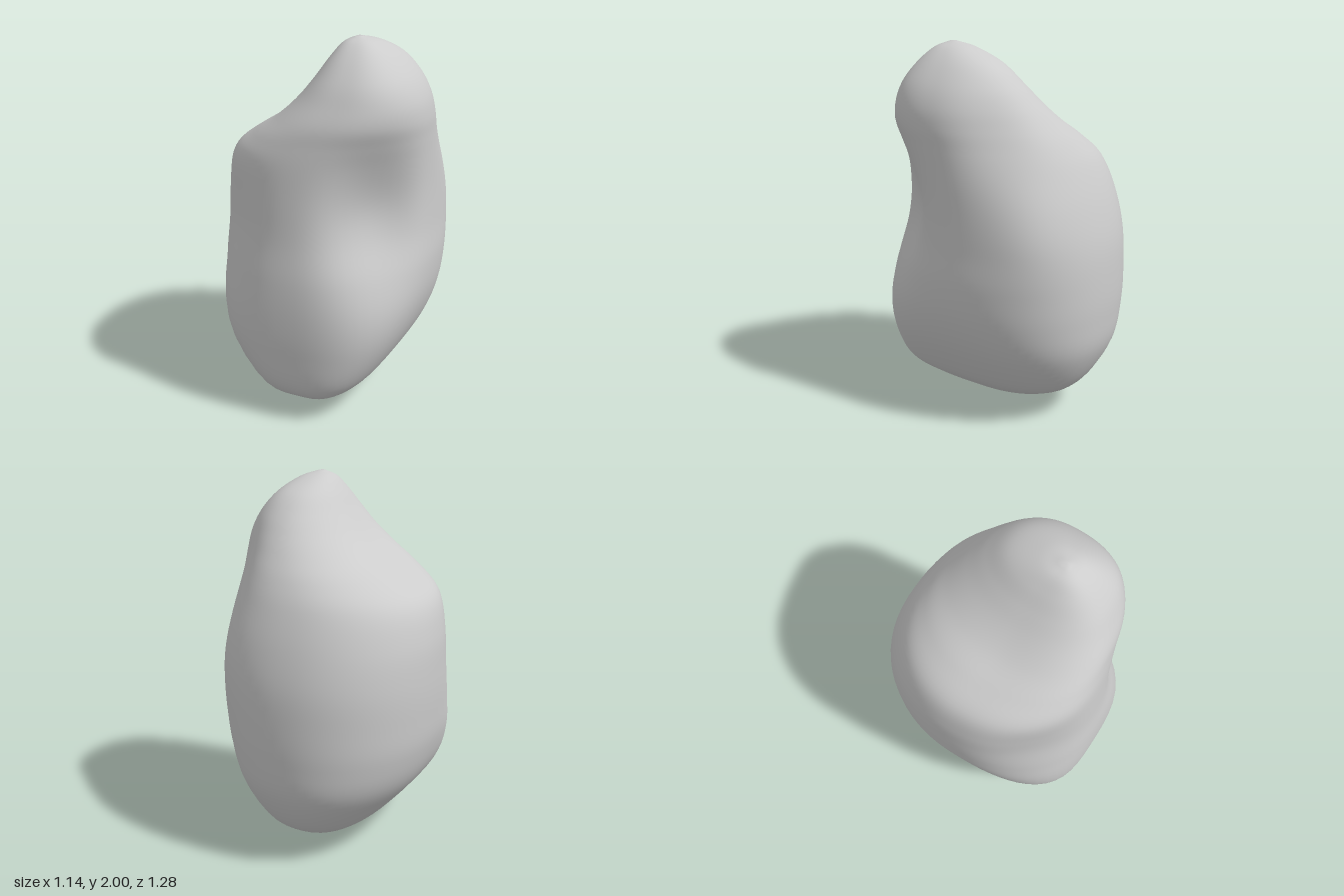
import * as THREE from 'three';

// Rock outline by height: [y, xMin, xMax, zMin, zMax]
const LEVELS = [
  [0, -0.02, 0.04, 0.08, 0.18],
  [0.04, -0.1, 0.13, -0.15, 0.36],
  [0.1, -0.2, 0.22, -0.34, 0.52],
  [0.2, -0.31, 0.34, -0.49, 0.605],
  [0.4, -0.475, 0.47, -0.605, 0.635],
  [0.6, -0.55, 0.545, -0.635, 0.645],
  [0.8, -0.572, 0.57, -0.637, 0.64],
  [1.0, -0.577, 0.56, -0.62, 0.62],
  [1.2, -0.565, 0.555, -0.57, 0.605],
  [1.38, -0.51, 0.555, -0.5, 0.588],
  [1.5, -0.37, 0.556, -0.435, 0.57],
  [1.6, -0.22, 0.555, -0.37, 0.55],
  [1.7, -0.1, 0.535, -0.3, 0.505],
  [1.8, -0.01, 0.485, -0.215, 0.45],
  [1.9, 0.065, 0.4, -0.1, 0.37],
  [1.97, 0.13, 0.31, 0.06, 0.29],
  [2.0, 0.195, 0.225, 0.18, 0.22],
];

// Soft hollows and swellings: centre, spread, and push along x, y, z
const DENTS = [
  { at: [0.45, 1.14, 0.46], spread: [0.27, 0.38, 0.27], push: [-0.11, 0, -0.12] },    // large front hollow
  { at: [-0.42, 1.1, 0.46], spread: [0.28, 0.34, 0.28], push: [0.045, 0, -0.045] },   // front side waist
  { at: [-0.2, 1.58, 0.12], spread: [0.22, 0.2, 0.24], push: [0.01, -0.015, 0] },     // scooped shoulder
  { at: [0.45, 1.1, -0.43], spread: [0.25, 0.28, 0.25], push: [0.025, 0, -0.025] },   // rear swelling
  { at: [0.42, 1.62, -0.22], spread: [0.2, 0.22, 0.2], push: [-0.03, 0, 0.03] },      // rear upper bevel
];

// Boxiness of each corner of a cross-section, squarer toward the foot
function cornerPower(c, s, y) {
  const foot = 1 - THREE.MathUtils.smoothstep(y, 0.2, 0.8);
  const crown = THREE.MathUtils.smoothstep(y, 1.2, 1.7);
  if (s > 0) return c > 0 ? 2.8 + 0.6 * foot - 0.3 * crown : 2.6 + 0.9 * foot;
  return c > 0 ? 2.25 + 0.25 * foot : 2.15;
}

function applyDents(p) {
  const base = p.clone();
  for (const { at, spread, push } of DENTS) {
    const d = new THREE.Vector3(...at).sub(base).divide(new THREE.Vector3(...spread));
    p.addScaledVector(new THREE.Vector3(...push), Math.exp(-d.lengthSq()));
  }
  return p;
}

function rockGeometry(rings = 96, sides = 72) {
  const curve = (ix, iz) => new THREE.CatmullRomCurve3(
    LEVELS.map((l) => new THREE.Vector3(l[ix], l[0], l[iz])), false, 'catmullrom', 0.5);
  const low = curve(1, 3), high = curve(2, 4);
  const positions = [], index = [];

  // Stacked cross-sections
  for (let i = 0; i <= rings; i++) {
    const lo = low.getPoint(i / rings), hi = high.getPoint(i / rings);
    const cx = (lo.x + hi.x) / 2, cz = (lo.z + hi.z) / 2;
    const a = (hi.x - lo.x) / 2, b = (hi.z - lo.z) / 2;
    for (let j = 0; j < sides; j++) {
      const t = (j / sides) * Math.PI * 2, c = Math.cos(t), s = Math.sin(t);
      const n = cornerPower(c, s, lo.y);
      const r = (Math.abs(c / a) ** n + Math.abs(s / b) ** n) ** (-1 / n);
      const p = applyDents(new THREE.Vector3(cx + r * c, lo.y, cz + r * s));
      positions.push(p.x, p.y, p.z);
    }
  }
  for (let i = 0; i < rings; i++) {
    for (let j = 0; j < sides; j++) {
      const k = (j + 1) % sides, m = i * sides, u = m + sides;
      index.push(m + j, u + j, m + k, m + k, u + j, u + k);
    }
  }
  // Close the bottom and top
  const top = rings * sides;
  for (let j = 1; j < sides - 1; j++) {
    index.push(0, j, j + 1, top, top + j + 1, top + j);
  }

  const geometry = new THREE.BufferGeometry();
  geometry.setAttribute('position', new THREE.Float32BufferAttribute(positions, 3));
  geometry.setIndex(index);
  geometry.computeVertexNormals();
  return geometry;
}

export function createModel() {
  const stone = new THREE.MeshStandardMaterial({ color: 0xcccccc });
  stone.name = 'stone grey';
  const rock = new THREE.Mesh(rockGeometry(), stone);
  rock.name = 'rock';
  const model = new THREE.Group();
  model.name = 'boulder';
  model.add(rock);
  return model;
}
